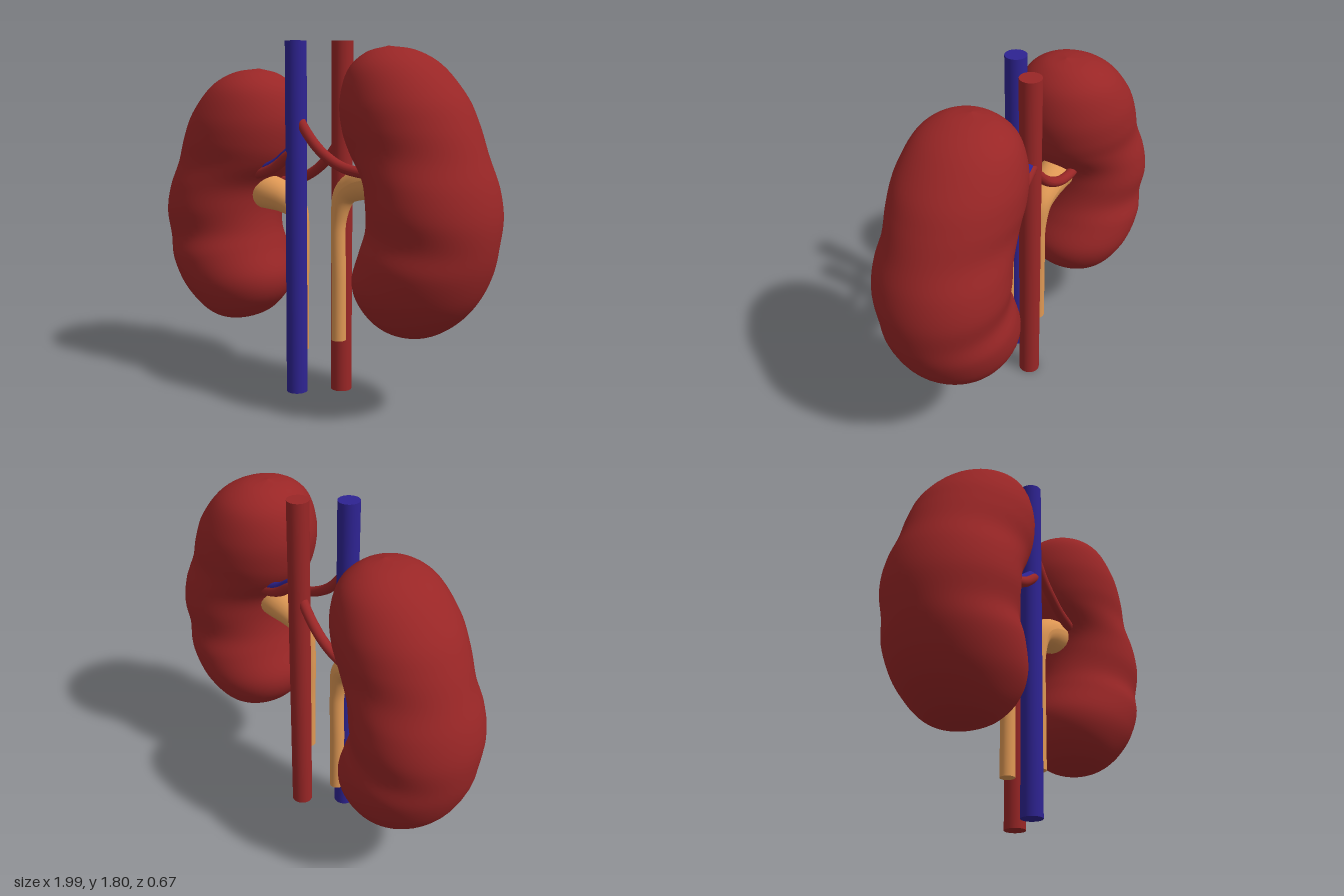
import * as THREE from 'three';

const mat = (name, color) => {
  const m = new THREE.MeshStandardMaterial({ color });
  m.name = name;
  return m;
};
const V = (x, y, z = 0) => new THREE.Vector3(x, y, z);

// Kidney sections from top to bottom: inner x, y, outer x, y, half depth
const SECTIONS = [
  [0.41, 1.77, 0.41, 1.77, 0],
  [0.31, 1.735, 0.54, 1.75, 0.13],
  [0.23, 1.65, 0.67, 1.68, 0.23],
  [0.195, 1.51, 0.80, 1.54, 0.285],
  [0.21, 1.38, 0.87, 1.41, 0.297],
  [0.25, 1.28, 0.925, 1.27, 0.291],
  [0.34, 1.16, 0.975, 1.13, 0.312],
  [0.365, 1.05, 0.997, 0.99, 0.32],
  [0.36, 0.93, 0.985, 0.85, 0.302],
  [0.33, 0.82, 0.955, 0.73, 0.32],
  [0.28, 0.68, 0.90, 0.61, 0.302],
  [0.30, 0.57, 0.83, 0.52, 0.255],
  [0.38, 0.475, 0.75, 0.455, 0.19],
  [0.47, 0.425, 0.67, 0.415, 0.11],
  [0.575, 0.4, 0.575, 0.4, 0],
];

// Smooth loft through the sections
function kidneyGeometry(rings = 84, sides = 48) {
  const spline = (f) => new THREE.CatmullRomCurve3(SECTIONS.map(f), false, 'catmullrom', 0.5);
  const inner = spline((s) => V(s[0], s[1]));
  const outer = spline((s) => V(s[2], s[3], s[4]));
  const pos = [], index = [];
  for (let i = 0; i <= rings; i++) {
    const a = inner.getPoint(i / rings), b = outer.getPoint(i / rings);
    for (let j = 0; j < sides; j++) {
      const t = (j / sides) * Math.PI * 2, k = (1 + Math.cos(t)) / 2;
      pos.push(a.x + (b.x - a.x) * k, a.y + (b.y - a.y) * k, -0.015 + b.z * Math.sin(t));
      if (i === rings) continue;
      const p = i * sides + j, q = i * sides + ((j + 1) % sides);
      index.push(p, q, p + sides, q, q + sides, p + sides);
    }
  }
  const g = new THREE.BufferGeometry();
  g.setAttribute('position', new THREE.Float32BufferAttribute(pos, 3));
  g.setIndex(index);
  g.computeVertexNormals();
  return g;
}

// Tube whose radius follows radiusAt(u)
function tube(points, radiusAt, segments = 48, sides = 24) {
  const curve = new THREE.CatmullRomCurve3(points);
  const g = new THREE.TubeGeometry(curve, segments, 1, sides);
  const p = g.attributes.position, v = V(0, 0);
  for (let i = 0; i < p.count; i++) {
    const u = Math.floor(i / (sides + 1)) / segments;
    const c = curve.getPointAt(u);
    v.fromBufferAttribute(p, i).sub(c).multiplyScalar(radiusAt(u)).add(c);
    p.setXYZ(i, v.x, v.y, v.z);
  }
  g.computeVertexNormals();
  return g;
}

export function createModel() {
  const red = mat('deep red', 0x992626);
  const blue = mat('vein blue', 0x2e2392);
  const tan = mat('ureter tan', 0xdf9854);
  const model = new THREE.Group();
  model.name = 'kidneys';

  const add = (parent, name, geometry, material) => {
    const m = new THREE.Mesh(geometry, material);
    m.name = name;
    parent.add(m);
    return m;
  };

  // Two main vertical vessels
  const trunk = new THREE.CylinderGeometry(0.054, 0.054, 1.8, 32);
  add(model, 'mainVein', trunk, blue).position.set(-0.08, 0.9, 0.09);
  add(model, 'mainArtery', trunk, red).position.set(0.07, 0.9, -0.09);

  // Shared shapes for one side
  const kidney = kidneyGeometry();
  const ureter = tube([V(0.135, 0.3, 0.01), V(0.135, 0.6, 0.01), V(0.135, 0.93, 0.01), V(0.165, 1.05, 0),
    V(0.235, 1.1, -0.01), V(0.33, 1.125, -0.02), V(0.42, 1.13, -0.02)],
  (u) => 0.037 + 0.055 * THREE.MathUtils.smoothstep(u, 0.55, 0.95), 72);
  const ureterCap = new THREE.CircleGeometry(0.037, 24).rotateX(Math.PI / 2).translate(0.135, 0.3, 0.01);
  const crossing = tube([V(-0.06, 1.42, 0.09), V(-0.02, 1.37, 0.095), V(0.05, 1.295, 0.095),
    V(0.125, 1.24, 0.095), V(0.22, 1.195, 0.09), V(0.33, 1.175, 0.08), V(0.42, 1.17, 0.06)], () => 0.026);
  const branch = (dy, dz) => tube([V(0.07, 1.385 + dy, -0.1 + dz), V(0.12, 1.35 + dy, -0.105 + dz),
    V(0.19, 1.3 + dy, -0.105 + dz), V(0.27, 1.265 + dy, -0.105 + dz), V(0.38, 1.24 + dy, -0.1 + dz)], () => 0.027);
  const vein = branch(0, 0);
  const lowerArtery = branch(-0.018, -0.012);

  // The right side is the left side turned half round and set lower
  for (const side of ['left', 'right']) {
    const g = new THREE.Group();
    g.name = side + 'Side';
    add(g, side + 'Kidney', kidney, red);
    add(g, side + 'Ureter', ureter, tan);
    add(g, side + 'UreterEnd', ureterCap, tan);
    add(g, side + 'CrossingArtery', crossing, red);
    add(g, side + 'LowerArtery', lowerArtery, red);
    add(g, side + 'Vein', vein, blue);
    if (side === 'right') {
      g.rotation.y = Math.PI;
      g.position.y = -0.105;
    }
    model.add(g);
  }
  return model;
}
